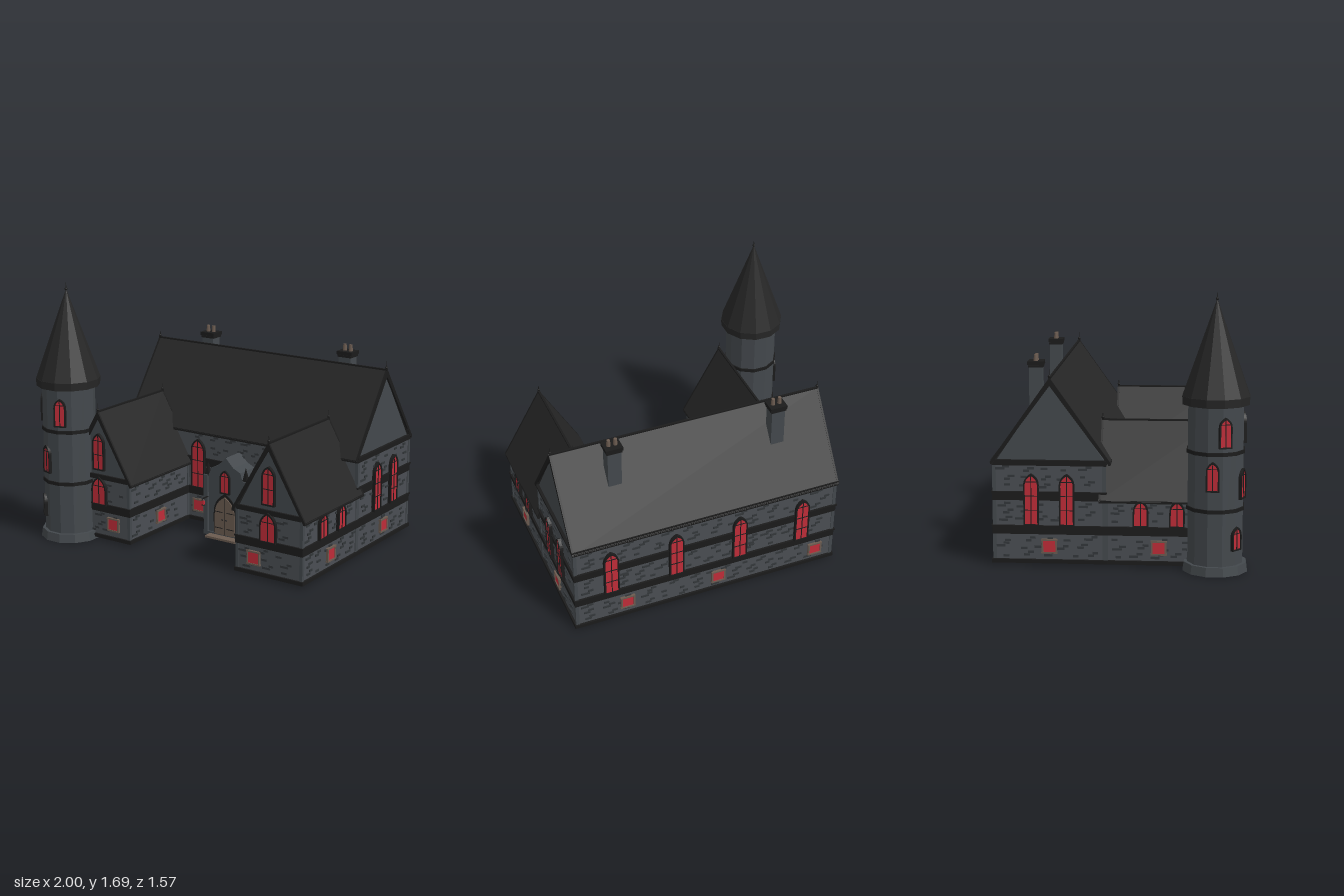
import * as THREE from 'three';
import { mergeGeometries } from 'three/addons/utils/BufferGeometryUtils.js';

const mat = (name, color) => Object.assign(new THREE.MeshStandardMaterial({ color }), { name });

export function createModel() {
  const M = {
    wall: mat('grey wall', 0x4a4e53), plain: mat('smooth slate grey', 0x43484c), stone: mat('dark stone', 0x33373a),
    roof: mat('roof charcoal', 0x262626), trim: mat('black trim', 0x1b1b1b), glass: mat('red glass', 0xbf2c38),
    wood: mat('brown wood', 0x6b5b50),
  };
  const root = new THREE.Group();
  root.name = 'manor';
  let seed = 7;
  const rnd = () => (seed = (seed * 16807) % 2147483647) / 2147483647;

  const add = (parent, name, geo, material, x = 0, y = 0, z = 0) => {
    const m = new THREE.Mesh(geo, material);
    m.name = name;
    m.position.set(x, y, z);
    parent.add(m);
    return m;
  };
  const group = (parent, name, x = 0, y = 0, z = 0, ry = 0) => {
    const g = new THREE.Group();
    g.name = name;
    g.position.set(x, y, z);
    g.rotation.y = ry;
    parent.add(g);
    return g;
  };
  const box = (w, h, d) => new THREE.BoxGeometry(w, h, d);
  const extrude = (shape, depth) => new THREE.ExtrudeGeometry(shape, { depth, bevelEnabled: false, curveSegments: 6 });
  const poly = (pts) => new THREE.Shape(pts.map(([x, y]) => new THREE.Vector2(x, y)));
  const flat = (geo) => { const g = geo.toNonIndexed(); g.computeVertexNormals(); return g; };
  // twelve-sided drum with flats facing the axes; radii measured to the flats
  const drum = (rt, rb, h) => flat(new THREE.CylinderGeometry(rt * 1.035, rb * 1.035, h, 12, 1, false, Math.PI / 12));

  // pointed arch outline, standing on y = 0
  function arch(w, h, grow = 0) {
    const a = w / 2 + grow, b = -grow, top = h + grow * 1.4, spring = h - w * 0.8;
    const s = new THREE.Shape();
    s.moveTo(-a, b);
    s.lineTo(a, b);
    s.lineTo(a, spring);
    s.quadraticCurveTo(a, spring + (top - spring) * 0.65, 0, top);
    s.quadraticCurveTo(-a, spring + (top - spring) * 0.65, -a, spring);
    return s;
  }
  function archWindow(parent, x, y, z, w, h, ry = 0) {
    const g = group(parent, 'archedWindow', x, y, z, ry);
    const rim = arch(w, h, 0.009);
    rim.holes.push(arch(w, h));
    add(g, 'windowFrame', extrude(rim, 0.022), M.trim, 0, 0, -0.008);
    add(g, 'windowGlass', extrude(arch(w, h), 0.008), M.glass);
    add(g, 'mullion', box(0.005, h, 0.004), M.trim, 0, h / 2, 0.01);
    const rows = Math.max(2, Math.round(h / 0.075));
    for (let i = 1; i < rows; i++)
      add(g, 'glazingBar', box(w, 0.004, 0.004), M.trim, 0, (i * (h - w * 0.5)) / (rows - 1), 0.01);
  }
  function cellarWindow(parent, x) {
    const g = group(parent, 'cellarWindow', x, 0.122, 0.004);
    add(g, 'cellarGlass', box(0.074, 0.07, 0.014), M.glass);
    for (const s of [-1, 1]) {
      add(g, 'cellarSill', box(0.098, 0.01, 0.024), M.wood, 0, s * 0.04, 0);
      add(g, 'cellarJamb', box(0.01, 0.07, 0.024), M.wood, s * 0.042, 0, 0);
    }
  }
  // scattered raised stones, in small staggered clusters
  function stones(parent, width, storeys) {
    const parts = [];
    for (const [y0, y1] of storeys)
      for (let row = 0; row < 3; row++)
        for (let x = -width / 2 + 0.05 + rnd() * 0.04; x < width / 2 - 0.06; x += 0.09 + rnd() * 0.07) {
          const y = y0 + ((row + 0.25 + rnd() * 0.4) * (y1 - y0)) / 3;
          const n = 1 + Math.floor(rnd() * 2.6);
          for (let i = 0; i < n; i++)
            parts.push(box(0.03 + rnd() * 0.012, 0.014, 0.012)
              .translate(x + (i % 2) * 0.026 - (i === 2 ? 0.018 : 0), Math.min(y + (i === 2 ? 0 : i) * 0.017, y1 - 0.008), 0));
        }
    add(parent, 'wallStones', mergeGeometries(parts), M.stone);
  }
  // one wall face: local x runs along the wall and z points outward
  function face(name, x, z, ry, width, storeys, tall, small, y = 0.255, w = 0.08, h = 0.31) {
    const g = group(root, name, x, 0, z, ry);
    stones(g, width, storeys);
    for (const t of tall) archWindow(g, t, y, 0.01, w, h);
    for (const s of small) cellarWindow(g, s);
    return g;
  }
  function block(name, x, z, w, d, h, bands) {
    const g = group(root, name, x, 0, z);
    add(g, 'walls', box(w, h - 0.015, d), M.wall, 0, (h + 0.015) / 2, 0);
    add(g, 'plinth', box(w + 0.026, 0.024, d + 0.026), M.trim, 0, 0.027, 0);
    for (const [b, t] of bands) {
      add(g, 'band', box(w + 0.014, t - b, d + 0.014), M.trim, 0, (b + t) / 2, 0);
      add(g, 'bandLip', box(w + 0.026, 0.01, d + 0.026), M.trim, 0, t - 0.005, 0);
    }
    for (const sx of [-1, 1]) for (const sz of [-1, 1])
      add(g, 'cornerPost', box(0.022, h - 0.02, 0.022), M.plain, sx * (w / 2 - 0.006), h / 2 + 0.01, sz * (d / 2 - 0.006));
  }
  function finial(parent, x, y, z, s = 1) {
    const g = group(parent, 'finial', x, y, z);
    g.scale.setScalar(s);
    add(g, 'finialSpike', new THREE.ConeGeometry(0.005, 0.065, 6), M.trim, 0, 0.03, 0);
    add(g, 'finialBall', new THREE.SphereGeometry(0.009, 8, 6), M.trim, 0, 0.016, 0);
  }
  // gabled roof with its ridge along local z
  function gabledRoof(name, x, z, ry, half, eave, ridge, length, inset) {
    const g = group(root, name, x, 0, z, ry);
    const vee = (t) => poly([[-half, eave], [-half + 0.012, eave - 0.012], [0, ridge - t], [half - 0.012, eave - 0.012], [half, eave], [0, ridge]]);
    add(g, 'roofSlopes', extrude(vee(0.03), length), M.roof, 0, 0, -length / 2);
    const k = (half - 0.03) / half;
    add(g, 'gables', extrude(poly([[-half * k, eave], [half * k, eave], [0, ridge - 0.025]]), length - inset * 2), M.plain, 0, 0, -length / 2 + inset);
    for (const s of [-1, 1]) {
      add(g, 'bargeBoard', extrude(vee(0.05), 0.012), M.trim, 0, 0.003, s * (length / 2 - 0.004) - 0.006);
      add(g, 'gutter', box(0.014, 0.016, length), M.trim, s * (half - 0.008), eave - 0.003, 0);
      finial(g, 0, ridge - 0.005, s * (length / 2 - 0.006));
    }
    add(g, 'ridgeCap', box(0.014, 0.01, length), M.trim, 0, ridge - 0.002, 0);
  }

  // main hall
  const Q = Math.PI / 2, low = [0.045, 0.19], mid = [0.265, 0.395], high = [0.475, 0.62];
  const cx = 0.085, cz = -0.42;
  block('mainHall', cx, cz, 1.77, 0.68, 0.65, [[0.195, 0.25], [0.405, 0.46], [0.62, 0.655]]);
  gabledRoof('mainRoof', cx, -0.412, Q, 0.366, 0.638, 1.155, 1.79, 0.016);
  face('hallFront', cx, -0.08, 0, 0.84, [low, mid, high], [-0.325, 0.32], [-0.325, 0.32], 0.255, 0.09, 0.32);
  face('hallBack', cx, -0.76, 2 * Q, 1.77, [low, mid, high], [-0.65, -0.216, 0.216, 0.65], [-0.545, 0.075, 0.76]);
  for (const s of [-1, 1])
    face('hallEnd', cx + s * 0.885, cz, s * Q, 0.68, [low, mid, high], [-0.108, 0.108], [0], 0.26, 0.075, 0.3);

  // two front wings
  for (const s of [-1, 1]) {
    const wx = s > 0 ? 0.735 : -0.565;
    block('wing', wx, 0.245, 0.47, 0.65, 0.43, [[0.195, 0.25]]);
    gabledRoof('wingRoof', wx, 0.235, 0, 0.263, 0.41, 0.868, 0.705, 0.016);
    const front = face('wingFront', wx, 0.57, 0, 0.47, [low, mid], [0], [-s * 0.107], 0.25, 0.1, 0.17);
    add(front, 'gableBand', box(0.46, 0.03, 0.016), M.trim, 0, 0.432, 0.008);
    archWindow(front, 0, 0.485, 0.008, 0.075, 0.225);
    face('wingOuterSide', wx + s * 0.235, 0.245, s * Q, 0.65, [low, mid], [-0.11, 0.11], [0], 0.26, 0.075, 0.145);
    face('wingInnerSide', wx - s * 0.235, 0.245, -s * Q, 0.65, [low, mid], [], [0]);
  }

  // chimneys
  for (const x of [-0.46, 0.622]) {
    const g = group(root, 'chimney', x, 0, -0.534);
    add(g, 'chimneyStack', box(0.088, 0.4, 0.08), M.plain, 0, 0.985, 0);
    add(g, 'chimneyCap', box(0.112, 0.022, 0.098), M.trim, 0, 1.2, 0);
    add(g, 'chimneyCollar', box(0.1, 0.014, 0.09), M.trim, 0, 1.18, 0);
    for (const s of [-1, 1])
      add(g, 'chimneyPot', new THREE.CylinderGeometry(0.011, 0.014, 0.045, 10), M.wood, s * 0.022, 1.231, 0);
  }

  // round tower
  const tower = group(root, 'tower', -0.802, 0, 0.584);
  add(tower, 'towerShaft', drum(0.165, 0.165, 1.0), M.plain, 0, 0.53, 0);
  add(tower, 'towerBase', drum(0.186, 0.194, 0.055), M.plain, 0, 0.0275, 0);
  for (const y of [0.39, 0.735]) add(tower, 'towerBand', drum(0.173, 0.173, 0.022), M.trim, 0, y, 0);
  add(tower, 'towerEave', drum(0.201, 0.198, 0.05), M.roof, 0, 1.04, 0);
  add(tower, 'towerSpire', drum(0.004, 0.2, 0.565), M.roof, 0, 1.345, 0);
  finial(tower, 0, 1.62, 0, 1.05);
  for (const [deg, y, h, w] of [[20, 0.78, 0.165, 0.062], [-70, 0.78, 0.165, 0.062], [-20, 0.46, 0.165, 0.062],
    [-95, 0.52, 0.16, 0.062], [-42, 0.155, 0.125, 0.06]]) {
    const a = (deg * Math.PI) / 180;
    archWindow(tower, Math.sin(a) * 0.167, y, Math.cos(a) * 0.167, w, h, a);
  }

  // entrance porch
  const porch = group(root, 'porch', cx, 0, 0);
  const outline = poly([[-0.16, 0.01], [0.16, 0.01], [0.16, 0.4], [0.125, 0.425], [0.115, 0.46], [0.06, 0.485],
    [0, 0.545], [-0.06, 0.485], [-0.115, 0.46], [-0.125, 0.425], [-0.16, 0.4]]);
  add(porch, 'porchBody', extrude(outline, 0.17), M.plain, 0, 0, -0.085);
  add(porch, 'porchFoot', box(0.34, 0.025, 0.21), M.plain, 0, 0.0125, -0.01);
  add(porch, 'doorStep', box(0.235, 0.014, 0.09), M.wood, 0, 0.007, 0.108);
  const surround = arch(0.155, 0.26, 0.012);
  add(porch, 'doorSurround', extrude(surround, 0.012), M.trim, 0, 0.025, 0.08);
  add(porch, 'door', extrude(arch(0.155, 0.26), 0.016), M.wood, 0, 0.02, 0.082);
  add(porch, 'doorGap', box(0.004, 0.25, 0.004), M.trim, 0, 0.145, 0.098);
  for (const s of [-1, 1]) {
    for (const y of [0.065, 0.175]) add(porch, 'doorHinge', box(0.055, 0.005, 0.004), M.trim, s * 0.045, y, 0.098);
    add(porch, 'doorHandle', new THREE.SphereGeometry(0.006, 8, 6), M.trim, s * 0.015, 0.125, 0.101);
    add(porch, 'buttress', box(0.032, 0.39, 0.035), M.plain, s * 0.15, 0.215, 0.08);
    add(porch, 'pinnacle', flat(new THREE.ConeGeometry(0.026, 0.1, 4, 1, false, Math.PI / 4)), M.trim, s * 0.148, 0.45, 0.07);
    add(porch, 'lanternArm', box(0.008, 0.008, 0.06), M.trim, s * 0.137, 0.262, 0.118);
    add(porch, 'lanternLight', box(0.014, 0.03, 0.014), M.glass, s * 0.137, 0.235, 0.142);
    add(porch, 'lanternCap', new THREE.ConeGeometry(0.014, 0.016, 6), M.trim, s * 0.137, 0.257, 0.142);
    add(porch, 'lanternFoot', box(0.016, 0.006, 0.016), M.trim, s * 0.137, 0.217, 0.142);
  }
  archWindow(porch, 0, 0.31, 0.085, 0.06, 0.14);
  return root;
}
